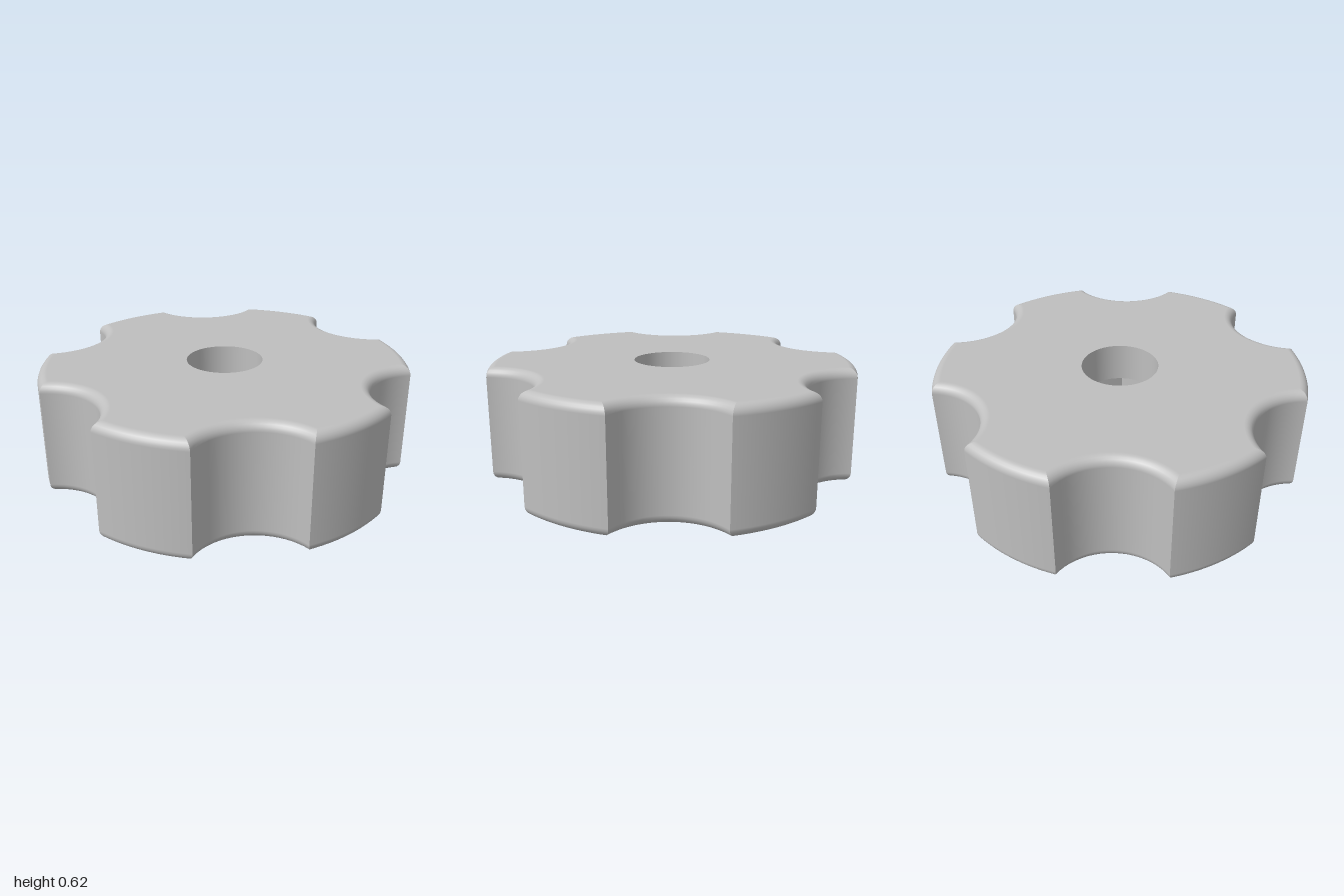
import * as THREE from 'three';

const HEIGHT = 0.625, RADIUS = 1, FILLET = 0.05;
const LOBES = 6, STEP = (Math.PI * 2) / LOBES;
const GRIP_RADIUS = 0.318, GRIP_DISTANCE = 1.128;   // finger scallops
const BORE = 0.207, HEX = 0.372, HEX_DEPTH = 0.41;
const SEGMENTS = 20, FILLET_STEPS = 6;

// Point and outward normal along a lobe or scallop arc, with the outline inset
function arcPoint(kind, k, t, inset) {
  const R = RADIUS - inset, r = GRIP_RADIUS + inset, c = GRIP_DISTANCE;
  const x = (c * c + R * R - r * r) / (2 * c);
  const y = Math.sqrt(R * R - x * x);
  if (kind === 'lobe') {
    const phi = Math.atan2(y, x);
    const a = k * STEP + phi + t * (STEP - 2 * phi);
    const n = [Math.cos(a), Math.sin(a)];
    return { p: [R * n[0], R * n[1]], n };
  }
  const psi = Math.atan2(y, c - x);
  const mid = (k + 1) * STEP, a = mid + psi * (1 - 2 * t);
  const n = [Math.cos(a), Math.sin(a)];
  return { p: [c * Math.cos(mid) - r * n[0], c * Math.sin(mid) - r * n[1]], n };
}

// Side profile: rounded bottom edge, straight wall, rounded top edge
function sideProfile() {
  const rows = [];
  for (const sign of [-1, 1]) {
    for (let i = 0; i <= FILLET_STEPS; i++) {
      const q = (i / FILLET_STEPS) * Math.PI / 2;
      const e = sign < 0 ? q - Math.PI / 2 : q;
      const centre = sign < 0 ? FILLET : HEIGHT - FILLET;
      rows.push({ inset: FILLET * (1 - Math.cos(e)), y: centre + FILLET * Math.sin(e), e });
    }
  }
  return rows;
}

// One smooth wall patch; patches meet in sharp corners
function wallGeometry(kind, k) {
  const pos = [], nor = [], idx = [], rows = sideProfile();
  rows.forEach(({ inset, y, e }, j) => {
    for (let i = 0; i <= SEGMENTS; i++) {
      const { p, n } = arcPoint(kind, k, i / SEGMENTS, inset);
      pos.push(p[0], y, p[1]);
      nor.push(n[0] * Math.cos(e), Math.sin(e), n[1] * Math.cos(e));
      if (j && i) {
        const d = j * (SEGMENTS + 1) + i, c = d - 1, b = d - SEGMENTS - 1, a = b - 1;
        idx.push(a, c, b, b, c, d);
      }
    }
  });
  const g = new THREE.BufferGeometry();
  g.setAttribute('position', new THREE.Float32BufferAttribute(pos, 3));
  g.setAttribute('normal', new THREE.Float32BufferAttribute(nor, 3));
  g.setIndex(idx);
  return g;
}

// Flat scalloped outline inside the rounded edge
function faceShape() {
  const pts = [];
  for (let k = 0; k < LOBES; k++) {
    for (const kind of ['lobe', 'scallop']) {
      for (let i = 0; i < SEGMENTS; i++) {
        pts.push(new THREE.Vector2(...arcPoint(kind, k, i / SEGMENTS, FILLET).p));
      }
    }
  }
  return new THREE.Shape(pts);
}

function ring(radius, sides) {
  return Array.from({ length: sides }, (_, i) => {
    const a = (i / sides) * Math.PI * 2;
    return new THREE.Vector2(radius * Math.cos(a), radius * Math.sin(a));
  });
}

// Horizontal plate facing up (dir 1) or down (dir -1), with one opening
function plate(shape, hole, y, dir) {
  shape.holes.push(new THREE.Path(hole));
  return new THREE.ShapeGeometry(shape).rotateX(-dir * Math.PI / 2).translate(0, y, 0);
}

export function createModel() {
  const model = new THREE.Group();
  model.name = 'handKnob';
  const grey = new THREE.MeshStandardMaterial({ color: 0xbfbfbf, side: THREE.DoubleSide });
  grey.name = 'grey';

  const add = (name, geometry, parent = model) => {
    const mesh = new THREE.Mesh(geometry, grey);
    mesh.name = name;
    parent.add(mesh);
  };

  // Rim of lobes and finger scallops
  const rim = new THREE.Group();
  rim.name = 'rim';
  model.add(rim);
  for (let k = 0; k < LOBES; k++) {
    add('lobe', wallGeometry('lobe', k), rim);
    add('scallop', wallGeometry('scallop', k), rim);
  }

  // Top and bottom faces
  add('topFace', plate(faceShape(), ring(BORE, 64), HEIGHT, 1));
  add('bottomFace', plate(faceShape(), ring(HEX, 6), 0, -1));

  // Round bore from the top
  const boreLength = HEIGHT - HEX_DEPTH;
  add('bore', new THREE.CylinderGeometry(BORE, BORE, boreLength, 64, 1, true)
    .translate(0, HEX_DEPTH + boreLength / 2, 0));

  // Hexagonal nut pocket from below
  const pocket = new THREE.CylinderGeometry(HEX, HEX, HEX_DEPTH, 6, 1, true)
    .rotateY(Math.PI / 2).translate(0, HEX_DEPTH / 2, 0).toNonIndexed();
  pocket.computeVertexNormals();
  add('nutPocketWalls', pocket);
  add('nutPocketCeiling', plate(new THREE.Shape(ring(HEX, 6)), ring(BORE, 64), HEX_DEPTH, -1));

  return model;
}
